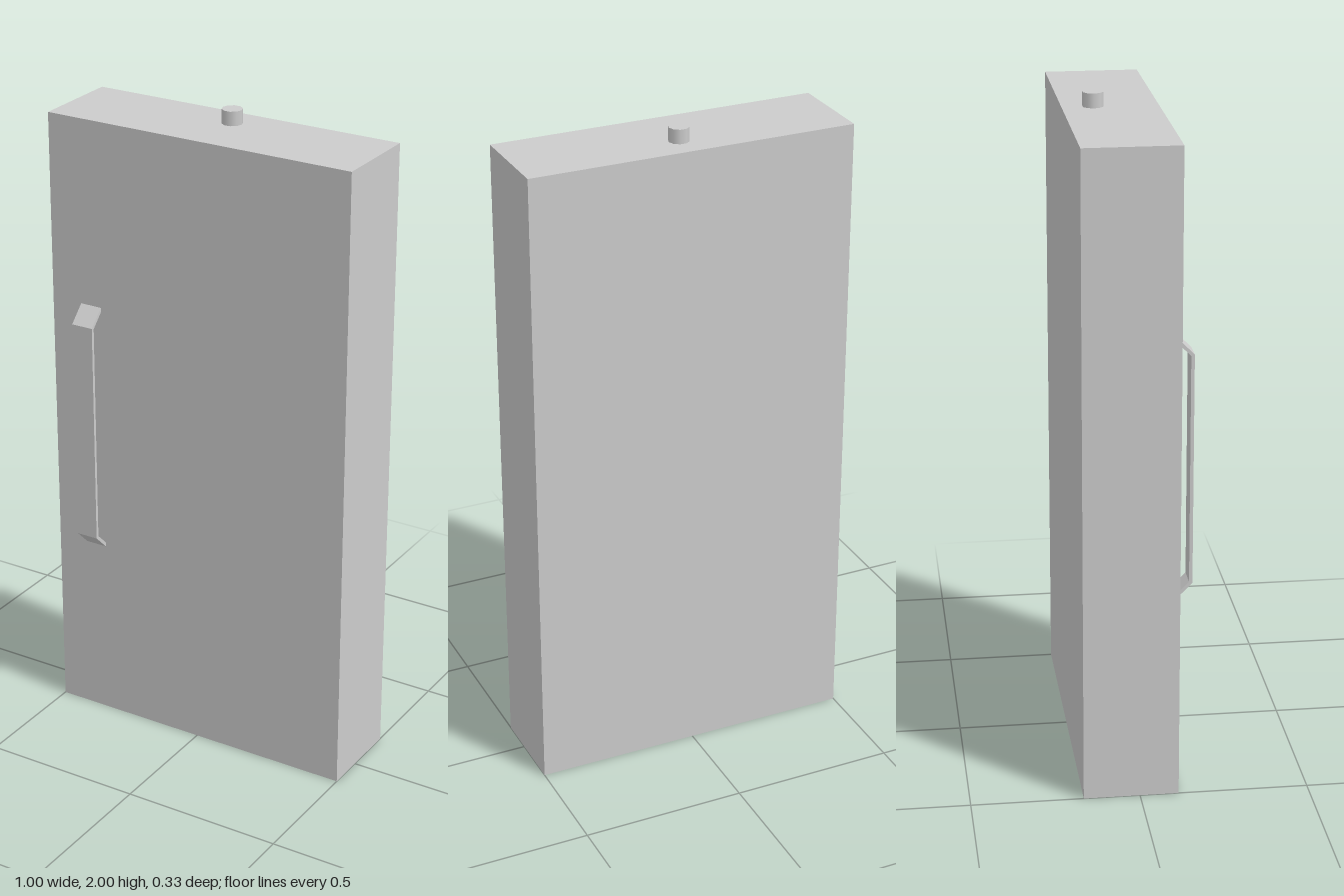
import * as THREE from 'three';

export function createModel() {
  const group = new THREE.Group();
  const material = new THREE.MeshStandardMaterial({ color: 0xcccccc });
  const add = (name, geometry, x, y, z) => {
    const mesh = new THREE.Mesh(geometry, material);
    mesh.name = name;
    mesh.position.set(x, y, z);
    group.add(mesh);
    return mesh;
  };

  // Slab body
  const front = 0.115, back = -0.167, height = 1.957;
  add('body', new THREE.BoxGeometry(1, height, front - back), 0, height / 2, (front + back) / 2);

  // Bent strip handle: side profile (depth, height), extruded across its width
  const depth = 0.05, t = 0.01, width = 0.07;
  const profile = new THREE.Shape([
    [0, -0.4], [depth, -0.35], [depth, 0.35], [0, 0.4],
    [0, 0.386], [depth - t, 0.346], [depth - t, -0.346], [0, -0.386],
  ].map(([z, y]) => new THREE.Vector2(z, y)));
  const strip = new THREE.ExtrudeGeometry(profile, { depth: width, bevelEnabled: false });
  strip.translate(0, 0, -width / 2).rotateY(-Math.PI / 2);
  add('handle', strip, -0.365, 0.98, front);

  // Small ten-sided peg on top
  const peg = new THREE.CylinderGeometry(0.031, 0.031, 2 - height, 10);
  peg.rotateY(Math.PI / 2);
  add('topPeg', peg, 0.008, (2 + height) / 2, -0.076);

  return group;
}
